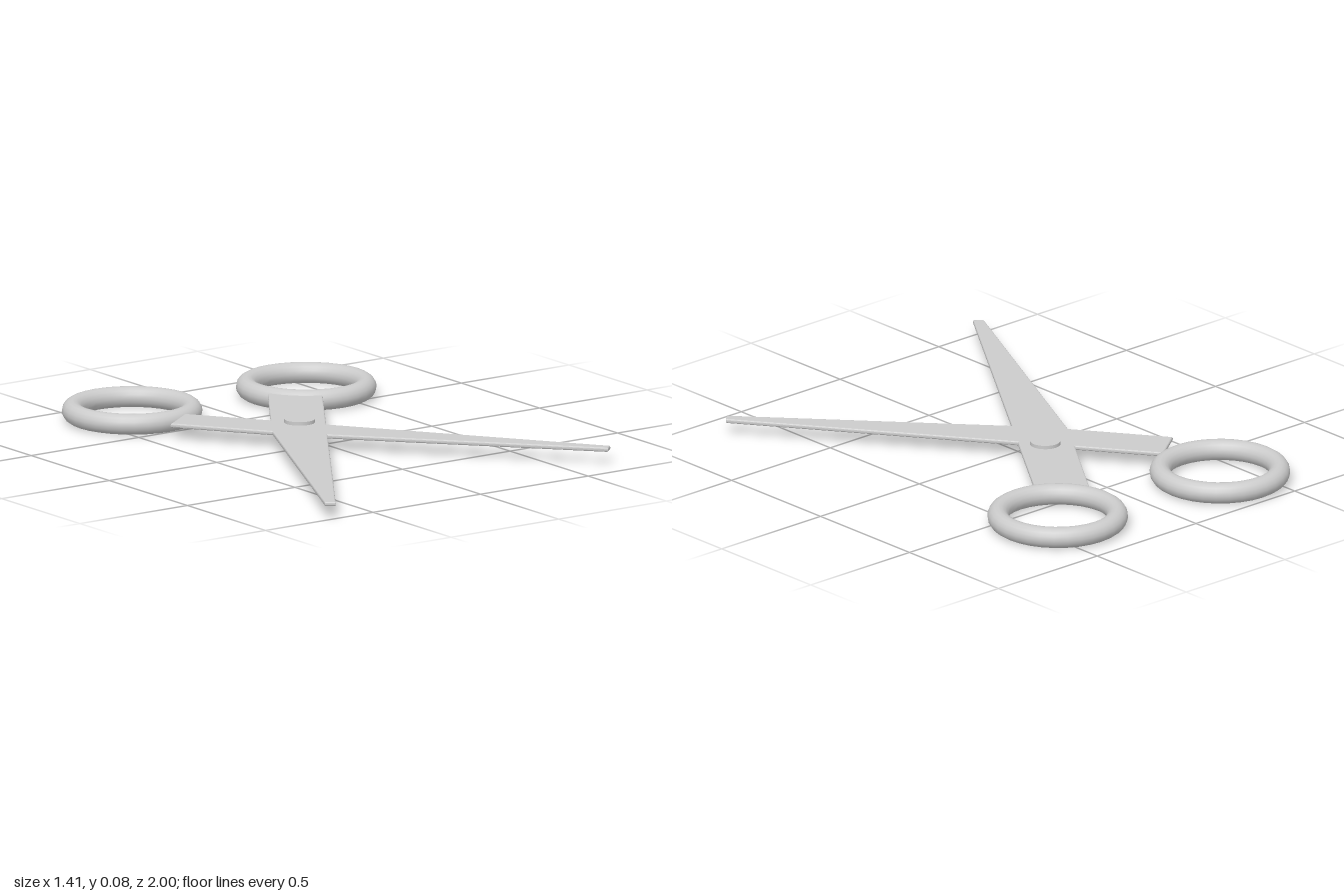
import * as THREE from 'three';

const material = new THREE.MeshStandardMaterial({ color: 0xcccccc });

function part(name, geometry, x, y, z) {
  const mesh = new THREE.Mesh(geometry, material);
  mesh.name = name;
  mesh.position.set(x, y, z);
  return mesh;
}

// Thin bevelled plate lying flat, outlined by [x, z] points
function plate(outline) {
  const shape = new THREE.Shape(outline.map(([x, z]) => new THREE.Vector2(x, z)));
  const bevel = 0.006, depth = 0.005;
  return new THREE.ExtrudeGeometry(shape, {
    depth, bevelEnabled: true, bevelThickness: bevel,
    bevelSize: bevel, bevelOffset: -bevel, bevelSegments: 3,
  }).translate(0, 0, -depth / 2).rotateX(Math.PI / 2);
}

export function createModel() {
  const group = new THREE.Group();
  group.name = 'scissors';

  // Two crossing blades: straight inner edge, tapered outer edge
  const leftBlade = [[-0.426, -0.397], [-0.288, -0.497], [0.703, 0.862], [0.673, 0.89], [-0.13, 0.01]];
  const rightBlade = [[0.167, -0.593], [0.336, -0.476], [-0.673, 1.0], [-0.706, 0.975], [-0.183, -0.085]];
  group.add(part('leftBlade', plate(leftBlade), 0, 0.055, 0));
  group.add(part('rightBlade', plate(rightBlade), 0, 0.055, 0));

  // Finger rings
  const ring = new THREE.TorusGeometry(0.225, 0.04, 16, 32).rotateX(Math.PI / 2);
  group.add(part('rightFingerRing', ring, -0.36, 0.04, -0.735));
  group.add(part('leftFingerRing', ring, 0.4, 0.04, -0.667));

  // Pivot screw
  group.add(part('pivot', new THREE.CylinderGeometry(0.058, 0.058, 0.04, 32), -0.021, 0.057, -0.13));

  return group;
}
